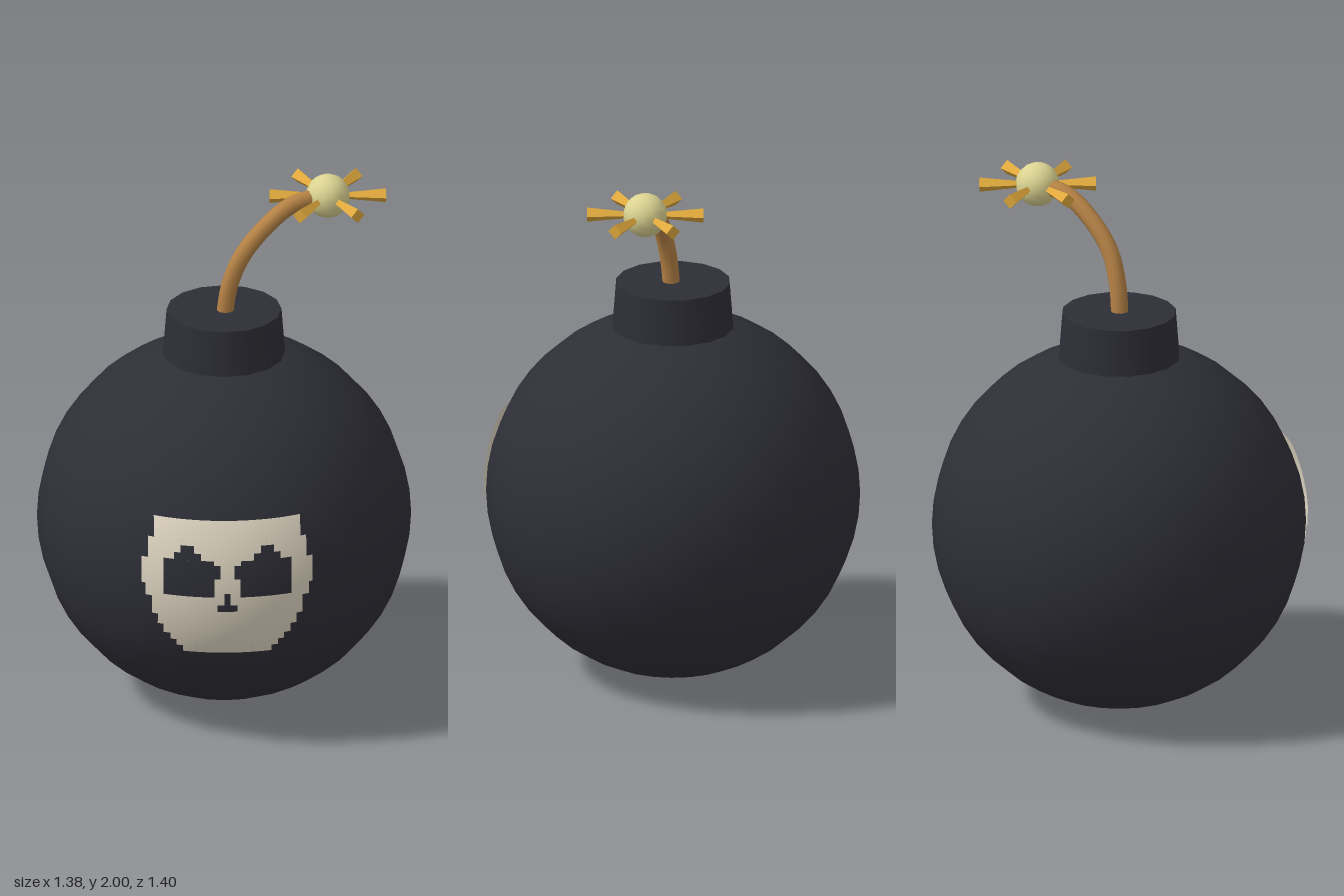
import * as THREE from 'three';
import { mergeGeometries } from 'three/addons/utils/BufferGeometryUtils.js';

const CENTER = new THREE.Vector3(0, 0.69, -0.01);
const RADIUS = 0.69;

function material(name, color) {
  const m = new THREE.MeshStandardMaterial({ color });
  m.name = name;
  return m;
}

function addMesh(parent, name, geometry, mat) {
  const mesh = new THREE.Mesh(geometry, mat);
  mesh.name = name;
  parent.add(mesh);
  return mesh;
}

// Rows of [top, bottom, left, right], wrapped on a sphere slightly larger than the body
function wrappedRows(rows, radius) {
  const patches = rows.map(([top, bottom, left, right]) => {
    const w = right - left, h = top - bottom;
    const g = new THREE.PlaneGeometry(w, h, Math.max(1, Math.ceil(w / 0.025)), Math.max(1, Math.ceil(h / 0.025)));
    g.translate((left + right) / 2, (top + bottom) / 2, 0);
    const p = g.attributes.position, n = g.attributes.normal;
    for (let i = 0; i < p.count; i++) {
      const x = p.getX(i), y = p.getY(i) - CENTER.y;
      const z = Math.sqrt(radius * radius - x * x - y * y);
      p.setZ(i, z + CENTER.z);
      n.setXYZ(i, x / radius, y / radius, z / radius);
    }
    return g;
  });
  return mergeGeometries(patches);
}

export function createModel() {
  const group = new THREE.Group();
  group.name = 'bomb';
  const iron = material('dark iron', 0x2e2e37);
  const bone = material('bone', 0xe2d8c4);
  const rope = material('fuse brown', 0xb58245);
  const glow = material('pale yellow', 0xdbd391);
  const gold = material('spark gold', 0xdfa83c);
  bone.side = THREE.DoubleSide;

  // Round body and neck
  addMesh(group, 'body', new THREE.SphereGeometry(RADIUS, 24, 24), iron).position.copy(CENTER);
  addMesh(group, 'neck', new THREE.CylinderGeometry(0.212, 0.227, 0.195, 16), iron).position.set(0, 1.418, CENTER.z);

  // Stepped skull: [top, bottom, half width]
  const skull = [
    [0.95, 0.875, 0.27], [0.875, 0.797, 0.292], [0.797, 0.696, 0.315], [0.696, 0.648, 0.302],
    [0.648, 0.574, 0.278], [0.574, 0.532, 0.256], [0.532, 0.495, 0.234], [0.495, 0.468, 0.209],
    [0.468, 0.442, 0.187], [0.442, 0.415, 0.163],
  ].map(([t, b, w]) => [t, b, -w, w]);
  addMesh(group, 'skullFace', wrappedRows(skull, 0.7), bone);

  // Stepped eye sockets, mirrored, and nose
  const eye = [
    [0.86, 0.833, 0.124, 0.172], [0.833, 0.807, 0.098, 0.196], [0.807, 0.79, 0.05, 0.236],
    [0.79, 0.738, 0.025, 0.236], [0.738, 0.665, 0.048, 0.236],
  ];
  const mirrored = eye.map(([t, b, l, r]) => [t, b, -r, -l]);
  addMesh(group, 'leftEye', wrappedRows(eye, 0.707), iron);
  addMesh(group, 'rightEye', wrappedRows(mirrored, 0.707), iron);
  const nose = [[0.68, 0.632, -0.011, 0.011], [0.632, 0.606, -0.037, 0.037]];
  addMesh(group, 'nose', wrappedRows(nose, 0.707), iron);

  // Curved fuse
  const path = new THREE.CatmullRomCurve3([
    [0, 1.48, -0.005], [0.022, 1.62, -0.003], [0.07, 1.735, -0.008],
    [0.16, 1.84, -0.038], [0.26, 1.908, -0.078], [0.38, 1.92, -0.123],
  ].map((p) => new THREE.Vector3(...p)));
  addMesh(group, 'fuse', new THREE.TubeGeometry(path, 20, 0.032, 10), rope);

  // Burning tip with six flaring sparks
  const tip = new THREE.Group();
  tip.name = 'spark';
  tip.position.set(0.385, 1.918, -0.125);
  group.add(tip);
  addMesh(tip, 'sparkBall', new THREE.SphereGeometry(0.082, 14, 10), glow);
  const ray = new THREE.CylinderGeometry(0.028, 0.01, 0.175, 4).toNonIndexed();
  ray.computeVertexNormals();
  ray.rotateZ(-Math.PI / 2);
  ray.translate(0.1275, 0, 0);
  for (let i = 0; i < 6; i++) {
    addMesh(tip, 'sparkRay', ray, gold).rotation.y = (i * Math.PI) / 3;
  }
  return group;
}
